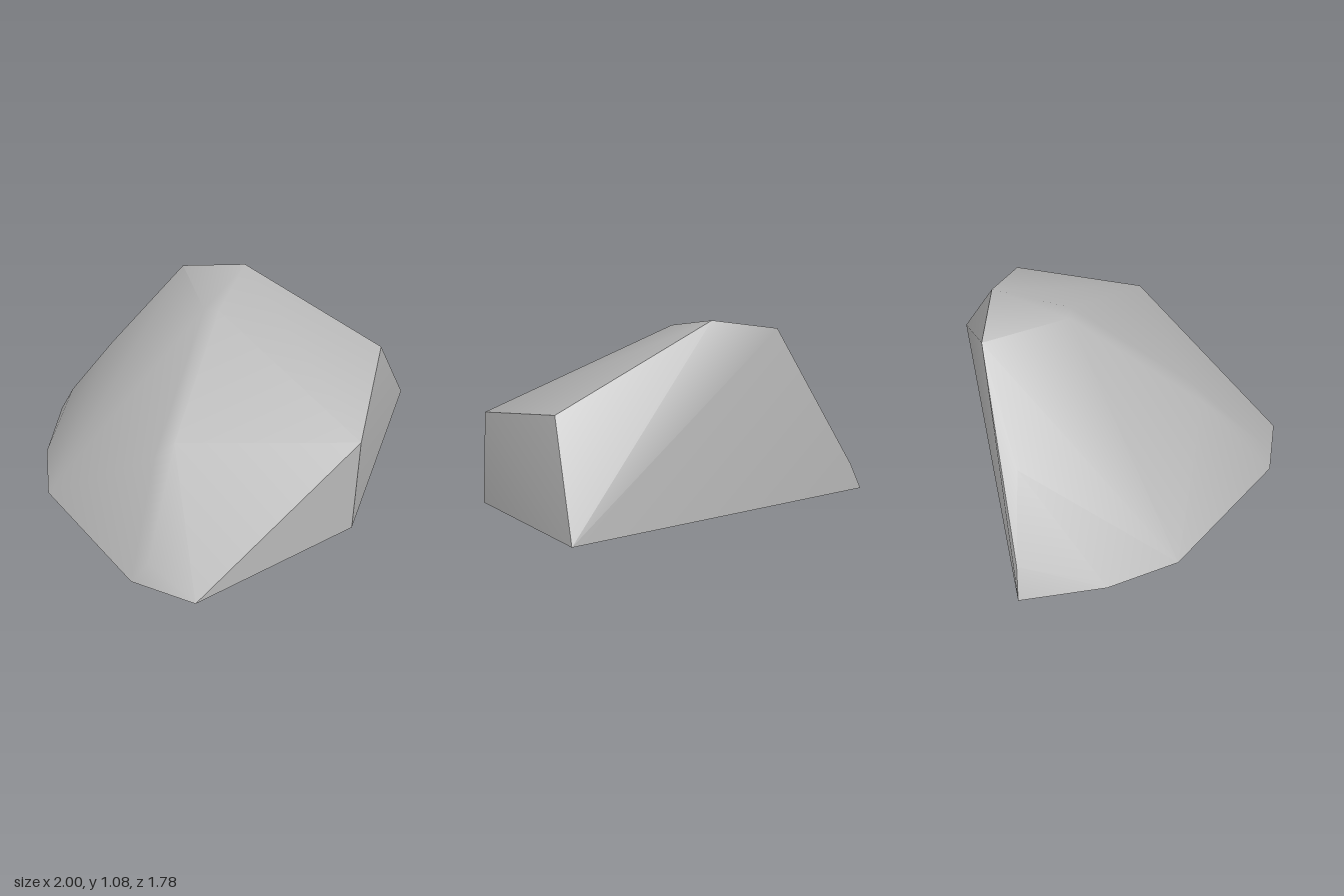
import * as THREE from 'three';
import { toCreasedNormals } from 'three/addons/utils/BufferGeometryUtils.js';
import { ConvexGeometry } from 'three/addons/geometries/ConvexGeometry.js';

export function createModel() {
  const model = new THREE.Group();
  model.name = 'rock';

  const stone = new THREE.MeshStandardMaterial({ color: 0xb4b4b4 });
  stone.name = 'grey stone';

  // Corners of the boulder, which is one convex hull
  const corners = [
    // base outline
    [0.23, 0.015, 0.89], [-0.12, 0.005, 0.81], [-0.78, 0, 0.24],
    [-0.93, 0.005, -0.12], [-1, 0.02, -0.55], [0.88, 0.09, 0.22],
    // cut right side
    [1, 0.26, -0.89], [0.88, 0.73, -0.55], [0.88, 0.58, 0.16],
    // summit
    [0.1, 1.08, -0.64], [-0.26, 1.01, -0.68],
    // front ridge
    [-0.03, 0.98, -0.26], [0.05, 0.99, -0.25], [-0.02, 0.55, 0.36],
    [-0.11, 0.48, 0.42], [-0.04, 0.11, 0.78],
    // left slope
    [-0.65, 0.54, -0.53], [-0.92, 0.17, -0.55],
  ].map((p) => new THREE.Vector3(...p));

  // Soft upper slopes, sharp edges around the cut faces
  const geometry = toCreasedNormals(new ConvexGeometry(corners), THREE.MathUtils.degToRad(38));
  const boulder = new THREE.Mesh(geometry, stone);
  boulder.name = 'boulder';
  model.add(boulder);
  return model;
}
